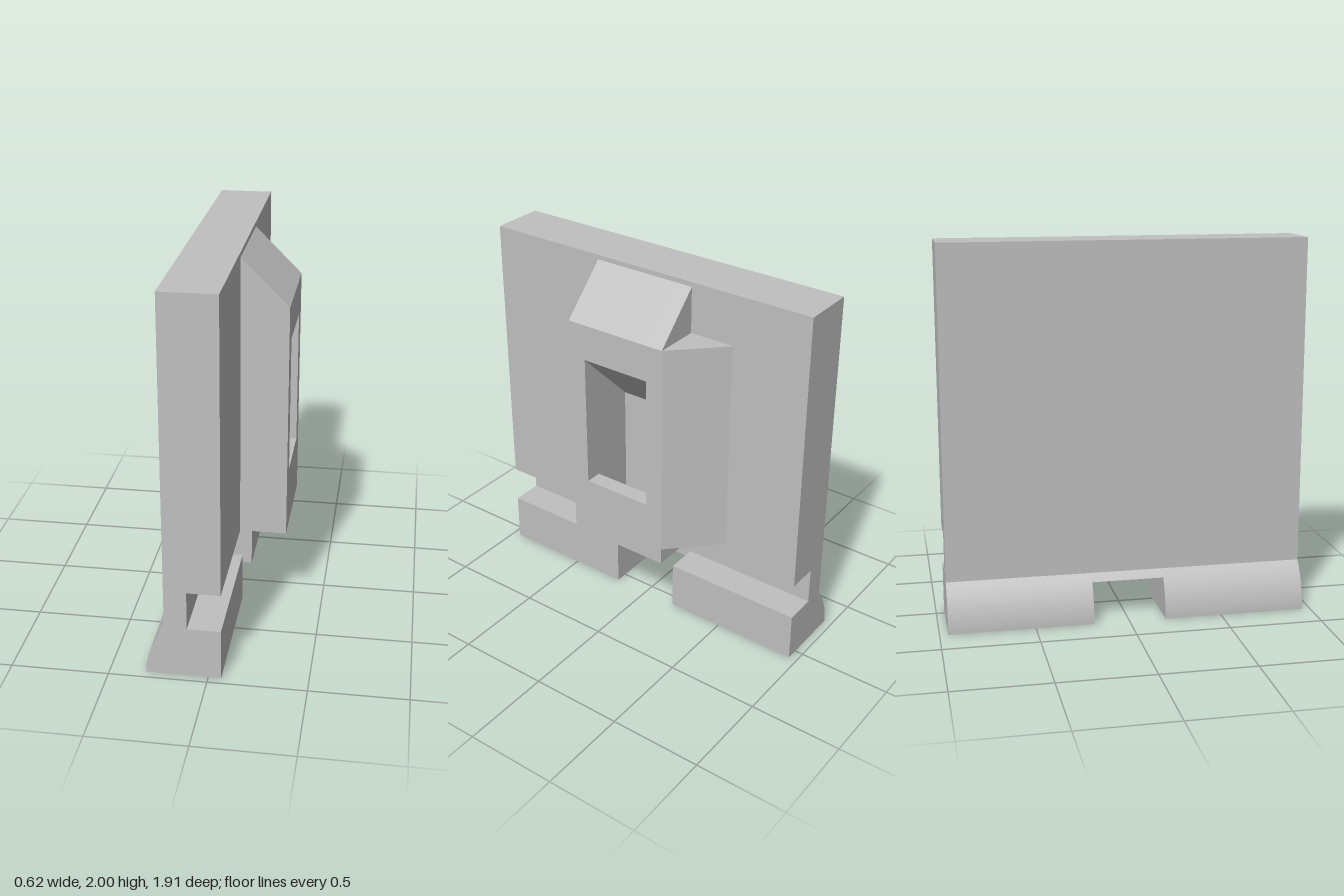
import * as THREE from 'three';
import { toCreasedNormals } from 'three/addons/utils/BufferGeometryUtils.js';

const grey = new THREE.MeshStandardMaterial({ color: 0xc0c0c0 });
grey.name = 'plain grey';

// key levels shared by the parts
const BACK = -0.22, FACE = 0.065, FRONT = 0.31, TOP = 2, LEDGE = 0.475;
const END = 0.955, CH0 = -0.19, CH1 = 0.195; // plate ends and channel sides in z
const R = 0.38; // radius of the rounded foot, centred on (FACE, 0)

function outline(points) {
  return new THREE.Shape(points.map(([x, y]) => new THREE.Vector2(x, y)));
}

// adds the rounded back of the foot, from the plate's back down to height y
function footArc(shape, y) {
  const start = Math.PI - Math.acos((FACE - BACK) / R);
  const stop = Math.PI - Math.asin(y / R);
  shape.absarc(FACE, 0, R, start, stop, false);
  return shape;
}

// extrudes an x-y cross-section from z0 to z1
function slab(name, shape, z0, z1) {
  const geo = new THREE.ExtrudeGeometry(shape, { depth: z1 - z0, bevelEnabled: false, curveSegments: 24 });
  geo.translate(0, 0, z0);
  const mesh = new THREE.Mesh(toCreasedNormals(geo, 0.5), grey);
  mesh.name = name;
  return mesh;
}

export function createModel() {
  const model = new THREE.Group();
  model.name = 'slottedPlate';

  // plate sides with grooved, rounded feet
  const side = footArc(outline([
    [FACE, 0], [FACE, 0.27], [-0.105, 0.27], [-0.105, LEDGE], [FACE, LEDGE], [FACE, TOP], [BACK, TOP],
  ]), 0);
  model.add(slab('rightPlate', side, -END, CH0), slab('leftPlate', side, CH1, END));

  // middle of the plate with the channel's back wall and sloping ceiling
  const middle = footArc(outline([
    [-0.125, 0.21], [-0.125, LEDGE], [-0.02, LEDGE], [-0.02, 1.205], [FRONT, 1.535],
    [FRONT, 1.73], [FACE, 1.975], [FACE, TOP], [BACK, TOP],
  ]), 0.21);
  model.add(slab('channelBack', middle, CH0, CH1));

  // housing walls either side of the channel
  const cheek = outline([[FACE, LEDGE], [FRONT, LEDGE], [FRONT, 1.73], [FACE, 1.975]]);
  model.add(slab('rightCheek', cheek, -0.285, CH0), slab('leftCheek', cheek, CH1, 0.29));

  // low wall below the window
  const sill = outline([[0.22, LEDGE], [FRONT, LEDGE], [FRONT, 0.81], [0.22, 0.81]]);
  model.add(slab('windowSill', sill, CH0, CH1));

  // triangular wing, drawn as x and -z, then stood upright
  const wing = slab('sideWing', outline([[FACE, 0.285], [FRONT, 0.285], [FACE, 0.53]]), 0.565, 1.73);
  wing.rotation.x = -Math.PI / 2;
  model.add(wing);

  return model;
}
